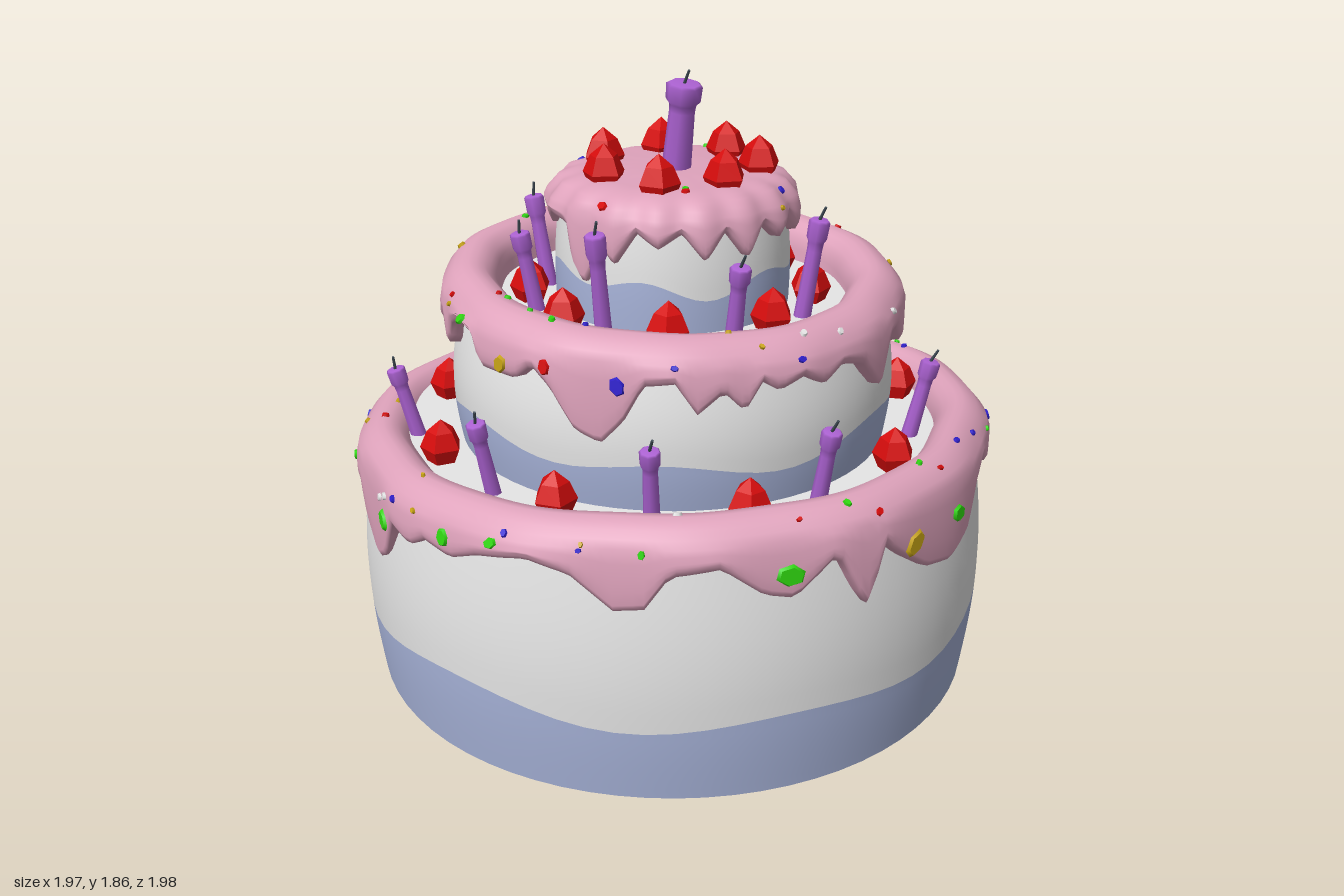
import * as THREE from 'three';

const mat = (name, color) => Object.assign(new THREE.MeshStandardMaterial({ color }), { name });
const M = {
  sponge: mat('white cream', 0xe6e6e6), band: mat('blue band', 0xa8b4da), icing: mat('pink icing', 0xdfa3bc),
  candle: mat('purple candle', 0xac62d2), red: mat('strawberry red', 0xd60c0c), green: mat('green sprinkle', 0x30d810),
  blue: mat('blue sprinkle', 0x3020d0), yellow: mat('yellow sprinkle', 0xcaa616), wick: mat('dark wick', 0x44505a),
};
const RAD = Math.PI / 180, TAU = Math.PI * 2;
let seed = 7;
const rand = () => (seed = (seed * 16807) % 2147483647) / 2147483647;

function add(parent, name, geometry, material) {
  const m = new THREE.Mesh(geometry, material);
  m.name = name;
  parent.add(m);
  return m;
}

// Closed ring surface: fn(angle, t) -> [radius, y], t runs from the top/inside to the bottom/outside
function loft(nu, nv, fn) {
  const pos = [], idx = [];
  for (let i = 0; i < nu; i++) for (let j = 0; j <= nv; j++) {
    const a = i / nu * TAU, [r, y] = fn(a, j / nv);
    pos.push(r * Math.sin(a), y, r * Math.cos(a));
  }
  for (let i = 0; i < nu; i++) for (let j = 0; j < nv; j++) {
    const a = i * (nv + 1) + j, d = ((i + 1) % nu) * (nv + 1) + j;
    idx.push(a, a + 1, d + 1, a, d + 1, d);
  }
  const g = new THREE.BufferGeometry();
  g.setAttribute('position', new THREE.Float32BufferAttribute(pos, 3));
  g.setIndex(idx);
  g.computeVertexNormals();
  return g;
}

// Icing edge height at an angle, from [degrees, y] points around the cake
function dripAt(table, a) {
  let deg = a / RAD % 360;
  if (deg < table[0][0]) deg += 360;
  if (deg >= table[0][0] + 360) deg -= 360;
  const n = table.length;
  for (let i = 0; i < n; i++) {
    const p = table[i], q = i + 1 < n ? table[i + 1] : [table[0][0] + 360, table[0][1]];
    if (deg <= q[0]) return p[1] + (q[1] - p[1]) * (deg - p[0]) / (q[0] - p[0]);
  }
  return table[0][1];
}

const lowDrips = [[-107, .5], [-98, .53], [-90, .58], [-72, .62], [-64, .56], [-57, .52], [-47, .5], [-38, .56], [-33, .65], [-27, .64],
  [-20, .64], [-16, .55], [-9, .485], [-4, .53], [0, .66], [6, .64], [10, .68], [16, .66], [22, .7], [31, .73], [38, .7], [45, .6],
  [50, .61], [54, .71], [62, .73], [69, .64], [74, .62], [81, .73], [85, .6], [87, .55], [90, .72], [95, .65], [101, .58], [109, .55],
  [115, .59], [120, .7], [128, .74], [135, .67], [140, .73], [153, .64], [160, .68], [165, .55], [171, .6], [176, .72], [184, .7],
  [193, .66], [198, .59], [201, .58], [206, .7], [213, .6], [217, .58], [221, .69], [234, .7], [241, .64], [246, .54]];
const midDrips = [[-110, 1.12], [-106, .92], [-102, .86], [-98, .94], [-92, 1.1], [-80, 1.14], [-70, 1.1], [-60, 1.15], [-52, 1.08],
  [-42, 1.04], [-37, 1.12], [-30, 1.1], [-22, 1.16], [-18, 1.07], [-15, 1.15], [-8, 1.19], [1, 1.18], [4, 1.1], [16, 1.1], [21, 1.15],
  [26, 1.1], [32, .99], [38, .957], [43, 1.02], [48, 1.13], [55, 1.14], [60, 1.05], [66, 1.11], [71, 1.05], [75, 1.13], [79, 1.1],
  [85, 1.13], [91, 1.09], [97, 1.13], [105, 1.1], [113, 1], [119, 1.13], [128, 1.12], [136, 1.04], [142, 1.14], [149, 1.07],
  [158, 1.08], [165, 1.15], [174, 1.09], [182, 1.15], [192, 1.07], [202, 1.14], [214, 1.08], [224, 1.15], [235, 1.1], [243, 1.14]];
const topDrips = [[2, 1.43], [6, 1.33], [11, 1.28], [15, 1.33], [19, 1.43]];
for (let i = 0; i < 32; i++) topDrips.push([28 + i * 10.2, i % 2 ? 1.455 : 1.36 + .06 * rand()]);

// y0..y1 body, r radius, bulge, band mean height; icing rin..ro with crest height and sideways tilt
const tiers = [
  { name: 'bottomTier', y0: 0, y1: .75, r0: .94, r1: .935, bulge: .035, band: .25, rin: .81, ro: .985, top: .818, tilt: .042, drips: lowDrips },
  { name: 'middleTier', y0: .74, y1: 1.16, r0: .655, r1: .64, bulge: .028, band: .88, rin: .525, ro: .705, top: 1.278, tilt: -.028, drips: midDrips },
  { name: 'topTier', y0: 1.15, y1: 1.52, r0: .352, r1: .33, bulge: .012, band: 1.29, rin: 0, ro: .378, top: 1.56, tilt: 0, drips: topDrips },
];

// Icing cross-section, sampled by t along its outline
function icingPoint(T, a, t) {
  const d = dripAt(T.drips, a), top = T.top + T.tilt * Math.sin(a), { rin, ro } = T;
  const w = T.rin ? 1 + .008 * Math.sin(5 * a) + .005 * Math.sin(13 * a + 1) : 1 + .02 * Math.sin(17 * a);
  const inner = rin ? [[rin, top - .12], [rin + .01, top - .05], [rin + .045, top - .01], [(rin + ro) / 2, top]]
    : [[0, top], [.1, top + .005], [.2, top], [.28, top - .003]];
  const s = [...inner, [ro - .045, top - .02], [ro - .01, top - .06], [ro, top - .06 + (d - top + .06) * .45],
    [ro, d + .025], [ro - .01, d + .005], [ro - .045, d]];
  const f = Math.min(t * 9, 8.9999), i = Math.floor(f), k = f - i;
  return [(s[i][0] + (s[i + 1][0] - s[i][0]) * k) * w, s[i][1] + (s[i + 1][1] - s[i][1]) * k];
}

function icingXYZ(T, a, t) {
  const [r, y] = icingPoint(T, a, t);
  return new THREE.Vector3(r * Math.sin(a), y, r * Math.cos(a));
}

// Thin disc lying on the icing
function sprinkle(parent, T, a, t, size, material) {
  const p = icingXYZ(T, a, t);
  const du = icingXYZ(T, a + .03, t).sub(icingXYZ(T, a - .03, t));
  const dv = icingXYZ(T, a, t + .03).sub(icingXYZ(T, a, t - .03));
  const n = dv.cross(du).normalize();
  const m = add(parent, 'sprinkle', new THREE.CylinderGeometry(size * .8, size, .009, 6), material);
  m.position.copy(p).addScaledVector(n, .003);
  m.quaternion.setFromUnitVectors(new THREE.Vector3(0, 1, 0), n);
  m.rotateY(rand() * 6);
  m.scale.z = .75;
}

function buildTier(T) {
  const g = new THREE.Group();
  g.name = T.name;
  const radius = y => { const k = (y - T.y0) / (T.y1 - T.y0); return T.r0 + (T.r1 - T.r0) * k + T.bulge * Math.sin(Math.PI * k); };
  const edge = a => T.band + .022 * Math.sin(6 * a + T.y0 * 3) + .012 * Math.sin(3 * a + 1);
  const wall = (hi, lo) => loft(72, 8, (a, t) => { const y = hi(a) + (lo(a) - hi(a)) * t; return [radius(y), y]; });
  add(g, 'cakeWall', wall(() => T.y1, edge), M.sponge);
  add(g, 'baseBand', wall(edge, () => T.y0), M.band);
  const lid = add(g, 'cakeTop', new THREE.CircleGeometry(T.r1, 48), M.sponge);
  lid.rotation.x = -Math.PI / 2;
  lid.position.y = T.y1;
  add(g, 'icing', loft(216, 18, (a, t) => icingPoint(T, a, t)), M.icing);
  return g;
}

// Candle whose top is at (x, yTop, z), leaning away from its base
function candle(parent, base, tip, r) {
  const g = new THREE.Group(), dir = tip.clone().sub(base), h = dir.length();
  g.name = 'candle';
  const prof = [[r, 0], [r * .85, h * .7], [r * .9, h * .78], [r * 1.15, h * .82], [r * 1.2, h * .98], [r, h], [0, h]];
  add(g, 'candleStick', new THREE.LatheGeometry(prof.map(p => new THREE.Vector2(...p)), 8), M.candle);
  const wick = add(g, 'wick', new THREE.CylinderGeometry(.004, .005, .05, 5), M.wick);
  wick.position.set(.006, h + .02, 0);
  wick.rotation.z = -.35;
  g.position.copy(base);
  g.quaternion.setFromUnitVectors(new THREE.Vector3(0, 1, 0), dir.normalize());
  parent.add(g);
}

const berryGeo = new THREE.LatheGeometry([[0, 0], [.045, 0], [.064, .045], [.042, .095], [0, .13]]
  .map(p => new THREE.Vector2(...p)), 5).toNonIndexed();
berryGeo.computeVertexNormals();

export function createModel() {
  const cake = new THREE.Group();
  cake.name = 'cake';
  const groups = tiers.map(T => { const g = buildTier(T); cake.add(g); return g; });
  const under = add(groups[0], 'underside', new THREE.CircleGeometry(.94, 48), M.band);
  under.rotation.x = Math.PI / 2;

  // Candles
  const V = (x, y, z) => new THREE.Vector3(x, y, z);
  [[-.01, -.82], [-.5, -.6], [-.78, -.12], [-.73, .27], [-.38, .76], [.15, .78], [.58, .49], [.79, .03], [.57, -.55]]
    .forEach(([x, z]) => candle(groups[0], V(x * .93, .74, z * .93), V(x, .96 + .03 * x + .02 * rand(), z), .025));
  [[-.18, -.5, 1.46], [.42, -.22, 1.46], [.49, .12, 1.4], [.25, .44, 1.49], [-.14, .45, 1.4], [-.34, .28, 1.44], [-.53, .03, 1.42],
    [-.43, -.28, 1.5]].forEach(([x, z, y]) => candle(groups[1], V(x * .9, 1.15, z * .9), V(x, y, z), .026));
  candle(groups[2], V(.015, 1.54, 0), V(.06, 1.82, 0), .045);

  // Strawberries on each tier
  const berries = [
    [.75, [[-.3, -.69], [.27, -.7], [-.66, -.36], [.68, -.31], [-.75, .07], [.7, .24], [-.57, .48], [.35, .65], [-.14, .74]]],
    [1.155, [[-.02, -.42], [-.26, -.35], [.28, -.31], [-.43, -.12], [.41, -.06], [.33, .25], [-.22, .37], [.06, .43]]],
    [1.53, [[-.04, -.23], [.16, -.2], [-.2, -.1], [.23, -.02], [-.19, .12], [.17, .17], [-.02, .23]]],
  ];
  berries.forEach(([y, list], i) => list.forEach(([x, z]) => {
    const b = add(groups[i], 'strawberry', berryGeo, M.red);
    b.position.set(x, y, z);
    b.rotation.y = rand() * 6;
  }));

  // Large sprinkles on the drips: tier, degrees, position down the icing, size, colour
  [[0, -48, .7, .035, 'green'], [0, -3, .68, .035, 'green'], [0, 15, .66, .028, 'green'], [0, 25, .62, .022, 'green'], [0, -57, .58, .02, 'yellow'],
    [0, -28, .72, .022, 'green'], [0, 73, .7, .045, 'green'], [0, 97, .72, .045, 'yellow'], [0, 110, .66, .035, 'green'], [0, 144, .62, .025, 'blue'],
    [0, -105, .65, .03, 'yellow'], [0, -150, .64, .025, 'green'], [1, -45, .72, .04, 'blue'], [1, -5, .64, .022, 'green'], [1, 12, .74, .03, 'yellow'],
    [1, 25, .66, .024, 'red'], [1, 42, .64, .03, 'blue'], [1, 150, .64, .028, 'yellow'], [1, -100, .66, .03, 'blue'], [2, -115, .5, .045, 'green'],
    [2, 20, .5, .02, 'red']].forEach(([i, d, t, s, c]) => sprinkle(groups[i], tiers[i], d * RAD, t, s, M[c]));

  // Small scattered sprinkles
  const colours = [M.red, M.green, M.blue, M.yellow, M.sponge];
  tiers.forEach((T, i) => {
    for (let k = 0; k < [34, 24, 8][i]; k++)
      sprinkle(groups[i], T, rand() * TAU, .25 + .35 * rand(), .009 + .006 * rand(), colours[k % 5]);
  });
  return cake;
}
